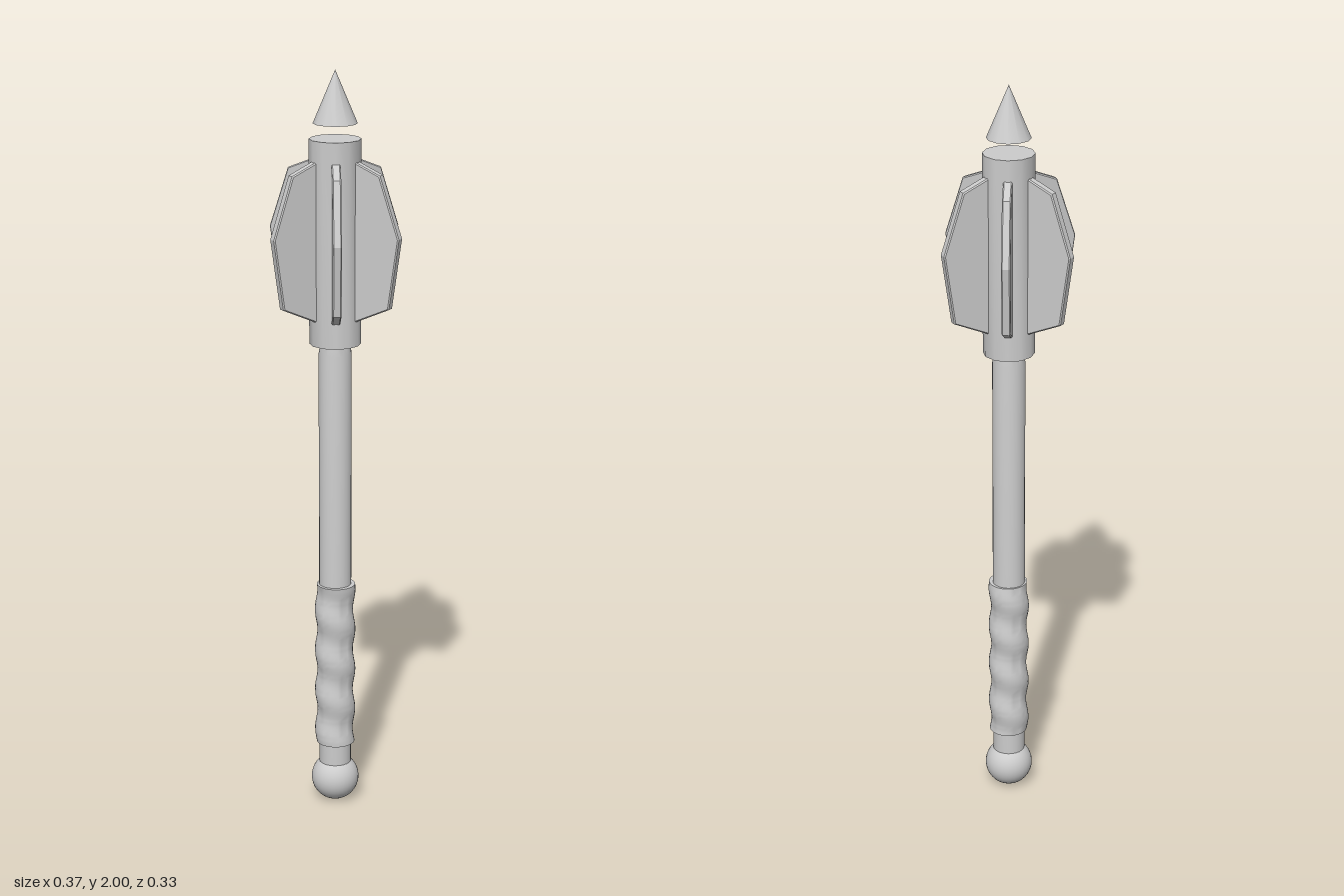
import * as THREE from 'three';
import { toCreasedNormals } from 'three/addons/utils/BufferGeometryUtils.js';

export function createModel() {
  const group = new THREE.Group();
  const steel = new THREE.MeshStandardMaterial({ color: 0xcccccc });
  steel.name = 'paleSteel';

  const add = (name, geometry, y = 0) => {
    const mesh = new THREE.Mesh(geometry, steel);
    mesh.name = name;
    mesh.position.y = y;
    group.add(mesh);
    return mesh;
  };
  const lathe = (points, sides) => toCreasedNormals(
    new THREE.LatheGeometry(points.map(([r, y]) => new THREE.Vector2(r, y)), sides), 0.6);

  // Round pommel
  add('pommel', new THREE.SphereGeometry(0.064, 32, 20), 0.068);

  // Shaft, narrowing slightly where it enters the head
  add('shaft', lathe([[0, 0.09], [0.043, 0.09], [0.043, 1.265], [0.038, 1.3], [0, 1.3]], 24));

  // Grip with a wrapped spiral ripple
  const gripBottom = 0.175, gripTop = 0.63, pitch = 0.115;
  const grip = new THREE.CylinderGeometry(1, 1, gripTop - gripBottom, 32, 56);
  grip.translate(0, (gripTop + gripBottom) / 2, 0);
  const p = grip.attributes.position;
  for (let i = 0; i < p.count; i++) {
    const x = p.getX(i), y = p.getY(i), z = p.getZ(i);
    const phase = 2 * Math.PI * y / pitch - Math.atan2(z, x);
    const r = 0.051 + 0.0035 * Math.sin(phase);
    p.setXYZ(i, x * r, y, z * r);
  }
  add('grip', toCreasedNormals(grip, 0.7));

  // Head core and the spike hovering above it
  add('headCore', lathe([[0, 1.292], [0.067, 1.292], [0.067, 1.826], [0, 1.826]], 12));
  add('spike', new THREE.ConeGeometry(0.057, 0.135, 12), 1.9325);

  // Six flanges around the head
  const bevel = 0.003, thickness = 0.023;
  const outline = new THREE.Shape([
    [0.03, 1.358], [0.065, 1.361], [0.157, 1.403], [0.184, 1.585],
    [0.13, 1.741], [0.055, 1.772], [0.03, 1.772],
  ].map(([x, y]) => new THREE.Vector2(x, y)));
  const flange = new THREE.ExtrudeGeometry(outline, {
    depth: thickness - 2 * bevel, bevelEnabled: true,
    bevelThickness: bevel, bevelSize: bevel, bevelSegments: 1,
  });
  flange.translate(0, 0, bevel - thickness / 2);
  for (let i = 0; i < 6; i++) {
    add('flange' + (i + 1), flange).rotation.y = i * Math.PI / 3;
  }

  return group;
}
